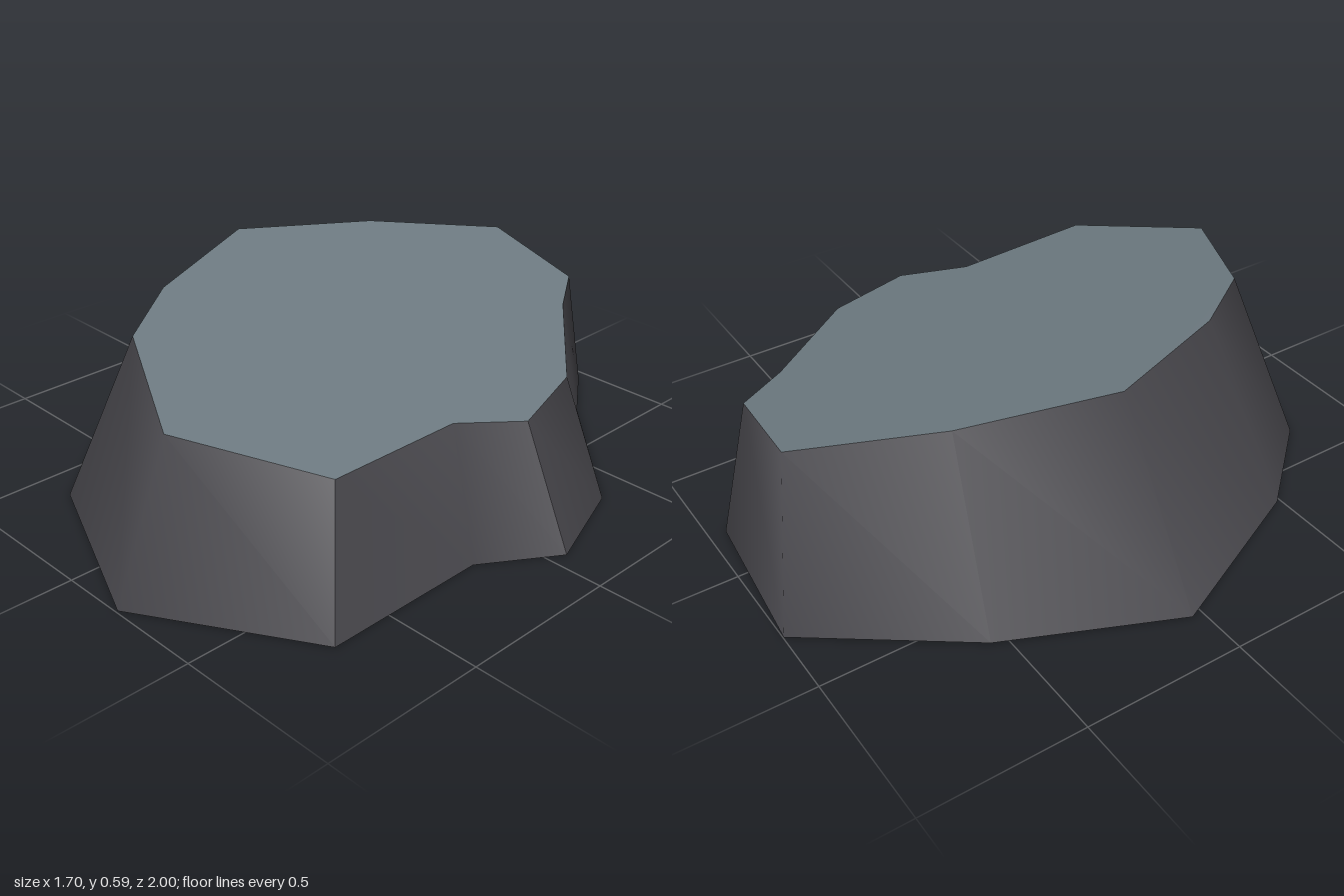
import * as THREE from 'three';

// Columns around the stump: base x, base z, top x, top y, top z
const COLUMNS = [
  [0.845, -0.055, 0.67, 0.345, -0.07],
  [0.70, 0.17, 0.565, 0.368, 0.12],
  [0.705, 0.695, 0.575, 0.38, 0.57],
  [0.205, 0.997, 0.21, 0.46, 0.82],
  [-0.365, 0.755, -0.19, 0.535, 0.615],
  [-0.61, 0.48, -0.36, 0.56, 0.375],
  [-0.85, -0.04, -0.53, 0.585, -0.06],
  [-0.625, -0.55, -0.375, 0.542, -0.50],
  [-0.295, -1.0, -0.14, 0.485, -0.88],
  [0.195, -0.95, 0.205, 0.417, -0.838],
  [0.335, -0.76, 0.31, 0.40, -0.675],
  [0.73, -0.37, 0.588, 0.357, -0.345],
];

function makeGeometry(points, index) {
  const geometry = new THREE.BufferGeometry();
  geometry.setAttribute('position', new THREE.Float32BufferAttribute(points.flat(), 3));
  geometry.setIndex(index);
  geometry.computeVertexNormals();
  return geometry;
}

// Smooth strip of wall between two columns; strips meet at sharp edges
function wallStrip(first, last) {
  const points = [], index = [];
  for (let i = first; i <= last; i++) {
    const [bx, bz, tx, ty, tz] = COLUMNS[i % COLUMNS.length];
    points.push([bx, 0.005 - 0.006 * bx, bz], [tx, ty, tz]);
    if (i < last) {
      const b = (i - first) * 2;
      index.push(b, b + 1, b + 3, b, b + 3, b + 2);
    }
  }
  return makeGeometry(points, index);
}

// Slanted cap closing the top rim
function capGeometry() {
  const rim = COLUMNS.map(([, , x, y, z]) => [x, y, z]);
  const outline = rim.map(([x, , z]) => new THREE.Vector2(x, -z)).reverse();
  const n = rim.length - 1;
  const faces = THREE.ShapeUtils.triangulateShape(outline, []);
  return makeGeometry(rim, faces.flat().map((i) => n - i));
}

export function createModel() {
  const wall = new THREE.MeshStandardMaterial({ color: 0x48474c, side: THREE.DoubleSide });
  wall.name = 'dark rock';
  const cap = new THREE.MeshStandardMaterial({ color: 0x6f7c83, side: THREE.DoubleSide });
  cap.name = 'blue grey stone';

  const group = new THREE.Group();
  group.name = 'rock';
  const add = (name, geometry, material) => {
    const mesh = new THREE.Mesh(geometry, material);
    mesh.name = name;
    group.add(mesh);
  };
  add('notchWall', wallStrip(0, 2), wall);
  add('outerWall', wallStrip(2, COLUMNS.length), wall);
  add('topFace', capGeometry(), cap);
  return group;
}
